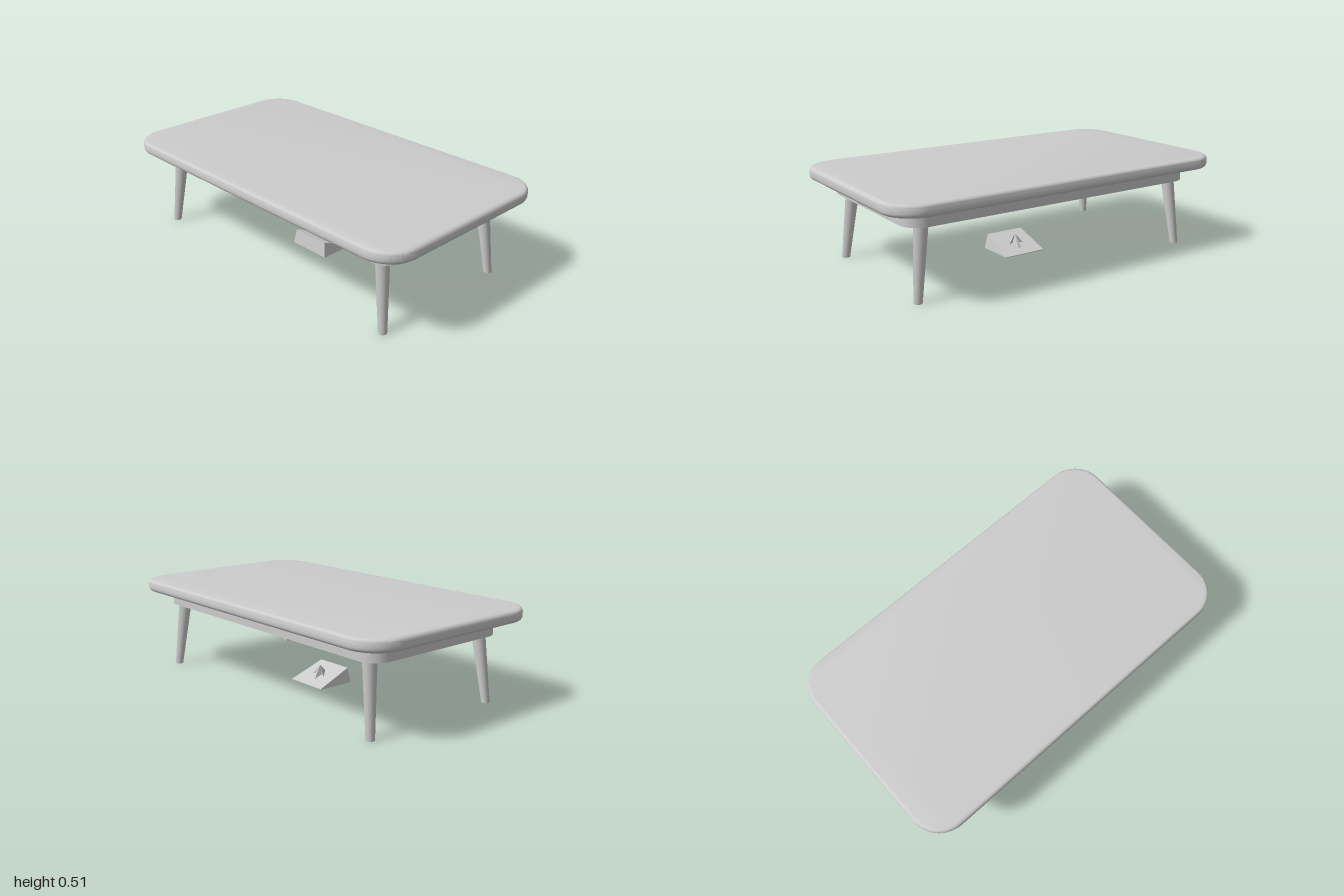
import * as THREE from 'three';
import { toCreasedNormals } from 'three/addons/utils/BufferGeometryUtils.js';

// Rounded rectangle outline with half sizes w, h and corner radius r
function roundedRect(w, h, r, Type = THREE.Shape) {
  const s = new Type();
  s.absarc(w - r, h - r, r, 0, Math.PI / 2);
  s.absarc(-w + r, h - r, r, Math.PI / 2, Math.PI);
  s.absarc(-w + r, -h + r, r, Math.PI, Math.PI * 1.5);
  s.absarc(w - r, -h + r, r, Math.PI * 1.5, Math.PI * 2);
  s.closePath();
  return s;
}

// Upright extrusion of a plan outline, with smooth curves and sharp corners
function slab(shape, y, options) {
  const g = new THREE.ExtrudeGeometry(shape, { curveSegments: 12, ...options });
  g.rotateX(-Math.PI / 2).translate(0, y, 0);
  return toCreasedNormals(g, 0.6);
}

export function createModel() {
  const group = new THREE.Group();
  const grey = new THREE.MeshStandardMaterial({ color: 0xcccccc });
  grey.name = 'plain grey';
  const add = (name, geometry) => {
    const mesh = new THREE.Mesh(geometry, grey);
    mesh.name = name;
    group.add(mesh);
    return mesh;
  };

  // Table top with softened edges
  const bevel = 0.022;
  add('tableTop', slab(roundedRect(1 - bevel, 0.565 - bevel, 0.17 - bevel), 0.45 + bevel, {
    depth: 0.065 - 2 * bevel, bevelEnabled: true, bevelSize: bevel, bevelThickness: bevel, bevelSegments: 5,
  }));

  // Hollow frame under the top
  const frame = roundedRect(0.88, 0.445, 0.1);
  frame.holes.push(roundedRect(0.8, 0.365, 0.05, THREE.Path));
  add('apron', slab(frame, 0.37, { depth: 0.082, bevelEnabled: false }));

  // Four tapered, splayed legs: sheared so their ends stay level
  const height = 0.38;
  for (const sx of [-1, 1]) {
    for (const sz of [-1, 1]) {
      const leg = new THREE.CylinderGeometry(0.036, 0.022, height, 24);
      leg.translate(0, height / 2, 0);
      const p = leg.attributes.position;
      for (let i = 0; i < p.count; i++) {
        const t = p.getY(i) / height;
        p.setX(i, p.getX(i) + sx * (0.83 - 0.045 * t));
        p.setZ(i, p.getZ(i) + sz * (0.412 - 0.032 * t));
      }
      add(`${sz > 0 ? 'front' : 'back'}${sx > 0 ? 'Left' : 'Right'}Leg`, leg);
    }
  }

  // Wedge on the floor, sloping down to the back
  const slopeY = (z) => 0.044 + 0.38 * z;
  const wedge = new THREE.BoxGeometry(2, 2, 2);
  const w = wedge.attributes.position;
  for (let i = 0; i < w.count; i++) {
    const top = w.getY(i) > 0, front = w.getZ(i) > 0;
    const z = front ? (top ? 0.1 : 0.11) : -0.106;
    w.setXYZ(i, w.getX(i) * (top && front ? 0.112 : 0.125), top ? slopeY(z) : 0, z);
  }
  wedge.computeVertexNormals();
  add('wedge', wedge);

  // Arrow-shaped peak on the slope
  const half = [[0, 0.032], [0.045, -0.018], [0.013, -0.004], [0.012, -0.055]];
  const outline = [...half, ...half.slice(1).reverse().map(([x, z]) => [-x, z])];
  const points = [];
  outline.forEach(([x, z], i) => {
    const [x2, z2] = outline[(i + 1) % outline.length];
    points.push(0, 0.093, -0.005, x, slopeY(z), z, x2, slopeY(z2), z2);
  });
  const peak = new THREE.BufferGeometry();
  peak.setAttribute('position', new THREE.Float32BufferAttribute(points, 3));
  peak.computeVertexNormals();
  add('arrowPeak', peak);

  return group;
}
